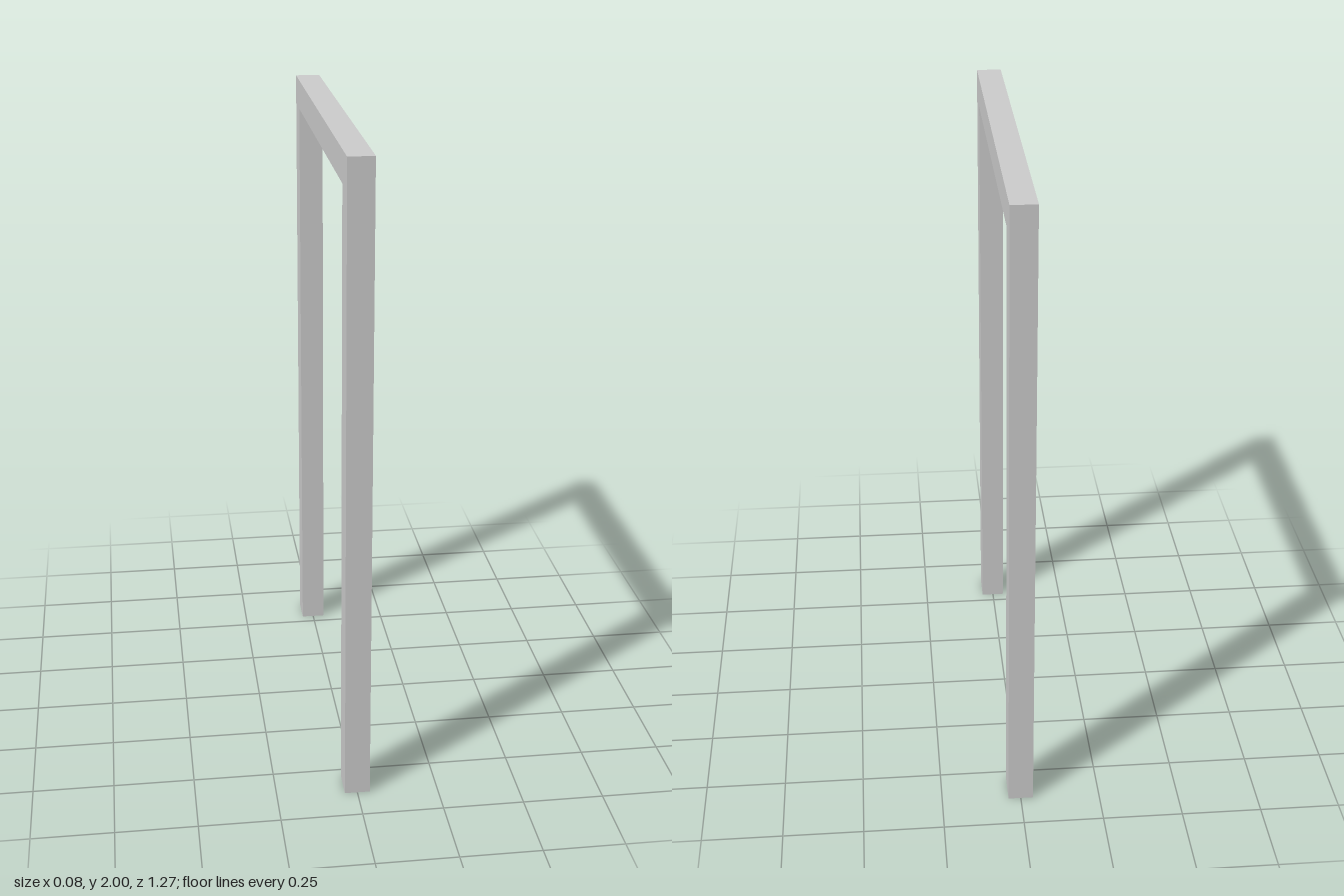
import * as THREE from 'three';

export function createModel() {
  const group = new THREE.Group();
  group.name = 'doorFrame';
  const paint = new THREE.MeshStandardMaterial({ color: 0xcccccc });
  paint.name = 'light grey paint';

  const half = 0.633, height = 2, band = 0.095, width = 0.078;
  const inner = half - band;

  // One continuous outline: two posts joined by the top beam
  const outline = new THREE.Shape([
    [-half, 0], [-inner, 0], [-inner, height - band], [inner, height - band],
    [inner, 0], [half, 0], [half, height], [-half, height],
  ].map(([x, y]) => new THREE.Vector2(x, y)));

  // Extrude across the frame's width, then turn it to span z
  const geometry = new THREE.ExtrudeGeometry(outline, { depth: width, bevelEnabled: false });
  geometry.translate(0, 0, -width / 2).rotateY(Math.PI / 2);

  const frame = new THREE.Mesh(geometry, paint);
  frame.name = 'postsAndTopBeam';
  group.add(frame);
  return group;
}
